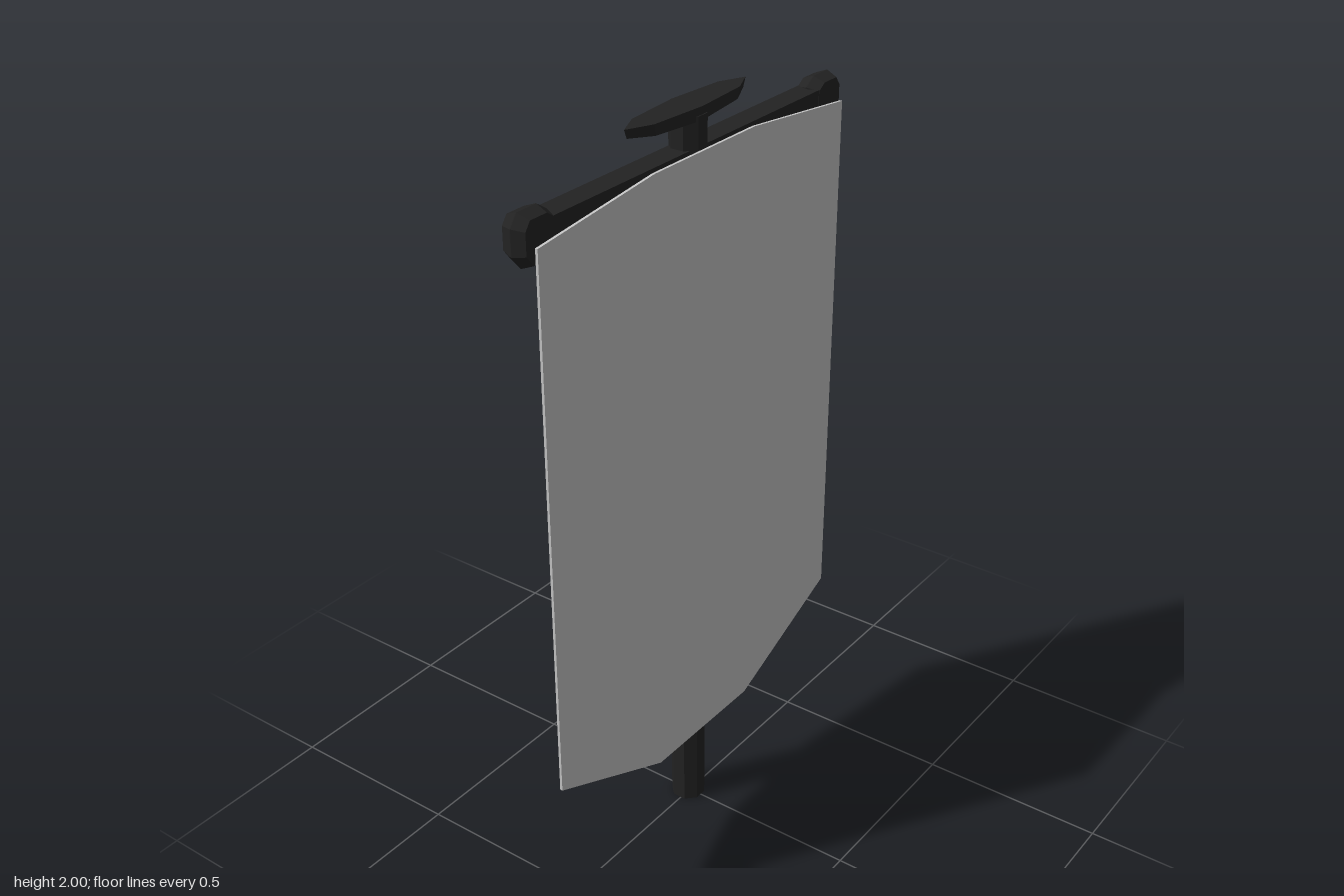
import * as THREE from 'three';

const dark = new THREE.MeshStandardMaterial({ color: 0x222222 });
dark.name = 'darkMetal';
const grey = new THREE.MeshStandardMaterial({ color: 0xc6c6c6 });
grey.name = 'greyCloth';

const AXIS_Z = -0.008; // shared depth of pole, bar and cap

function add(group, name, geometry, material, x = 0, y = 0, z = 0) {
  const flat = geometry.index ? geometry.toNonIndexed() : geometry;
  flat.computeVertexNormals();
  const mesh = new THREE.Mesh(flat, material);
  mesh.name = name;
  mesh.position.set(x, y, z);
  group.add(mesh);
  return mesh;
}

const outline = (points) => new THREE.Shape(points.map(([x, y]) => new THREE.Vector2(x, y)));

export function createModel() {
  const model = new THREE.Group();
  model.name = 'bannerStand';

  // Octagonal pole with flat sides facing front and side
  const pole = new THREE.CylinderGeometry(0.0465, 0.0465, 1.98, 8);
  pole.rotateY(Math.PI / 8);
  add(model, 'pole', pole, dark, 0, 0.99, AXIS_Z + 0.002);

  // Crossbar
  add(model, 'crossbar', new THREE.BoxGeometry(1.08, 0.085, 0.062), dark, 0, 1.8575, AXIS_Z);

  // Eight-sided end knobs, bulging at mid depth
  const knobShape = outline([
    [-0.048, -0.036], [-0.024, -0.052], [0.024, -0.052], [0.046, -0.025],
    [0.046, 0.03], [0.03, 0.052], [-0.024, 0.052], [-0.048, 0.036],
  ]);
  for (const side of [-1, 1]) {
    const knob = new THREE.ExtrudeGeometry(knobShape, {
      depth: 0.002, bevelThickness: 0.031, bevelSize: 0.012, bevelSegments: 1,
    });
    knob.translate(0, 0, -0.001);
    if (side < 0) {
      // Mirror the knob in x: half turn about y keeps face order
      knob.rotateY(Math.PI);
    }
    add(model, side < 0 ? 'rightKnob' : 'leftKnob', knob, dark, side * 0.56, 1.8615, AXIS_Z);
  }

  // Long, thin cap with an underside that rises toward the tips
  const cap = new THREE.CylinderGeometry(1, 0.96, 0.034, 8);
  cap.rotateY(Math.PI / 2);
  cap.scale(0.233, 1, 0.044);
  const p = cap.attributes.position;
  for (let i = 0; i < p.count; i++) {
    if (p.getY(i) < 0) p.setY(i, -0.017 + 0.012 * (p.getX(i) / 0.233) ** 2);
  }
  add(model, 'topCap', cap, dark, 0, 1.983, AXIS_Z);

  // Hanging cloth
  const cloth = new THREE.ExtrudeGeometry(outline([
    [-0.6, 0.425], [-0.2, 0.25], [0.19, 0.25], [0.58, 0.425],
    [0.58, 1.86], [0.19, 1.902], [-0.2, 1.902], [-0.6, 1.86],
  ]), { depth: 0.007, bevelEnabled: false });
  add(model, 'cloth', cloth, grey, 0, 0, 0.043);

  return model;
}
